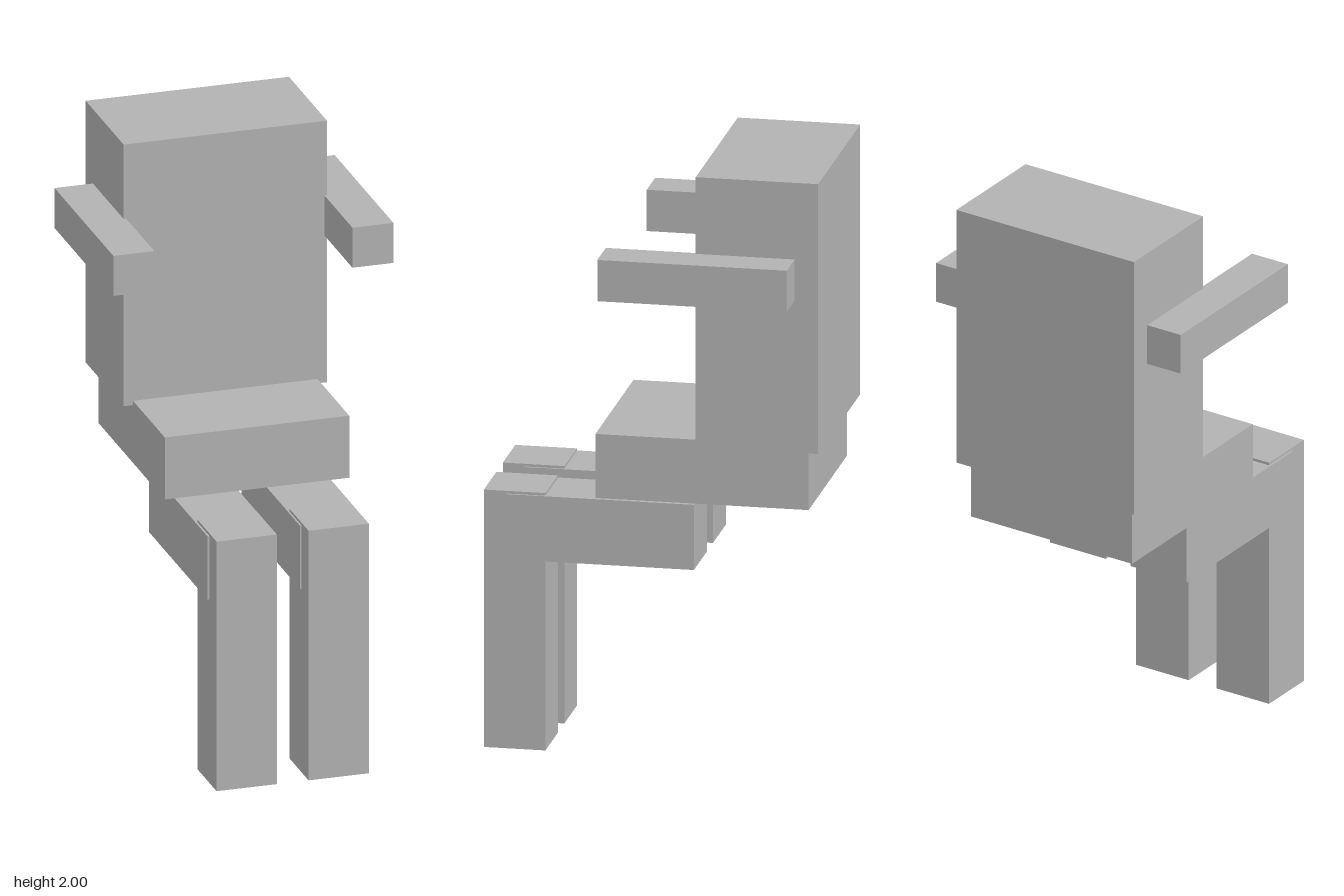
import * as THREE from 'three';

const grey = new THREE.MeshStandardMaterial({ color: 0xb2b2b2 });
grey.name = 'grey';

// Box given by its [min, max] range on each axis
function block(name, [x0, x1], [y0, y1], [z0, z1]) {
  const mesh = new THREE.Mesh(new THREE.BoxGeometry(x1 - x0, y1 - y0, z1 - z0), grey);
  mesh.position.set((x0 + x1) / 2, (y0 + y1) / 2, (z0 + z1) / 2);
  mesh.name = name;
  return mesh;
}

export function createModel() {
  const model = new THREE.Group();
  model.name = 'seatedFigure';

  // Body
  model.add(block('torso', [-0.347, 0.347], [1.085, 2], [-0.563, -0.157]));
  model.add(block('hips', [-0.315, 0.315], [0.883, 1.1], [-0.525, 0.182]));

  // Limbs, mirrored left and right
  for (const [side, s] of [['left', 1], ['right', -1]]) {
    const span = (a, b) => (s > 0 ? [a, b] : [-b, -a]);
    model.add(block(side + 'Arm', span(0.338, 0.478), [1.6, 1.74], [-0.485, 0.143]));
    model.add(block(side + 'Thigh', span(0.048, 0.267), [0.643, 0.864], [-0.135, 0.49]));
    model.add(block(side + 'Shin', span(0.054, 0.26), [0, 0.873], [0.359, 0.563]));
  }
  return model;
}
